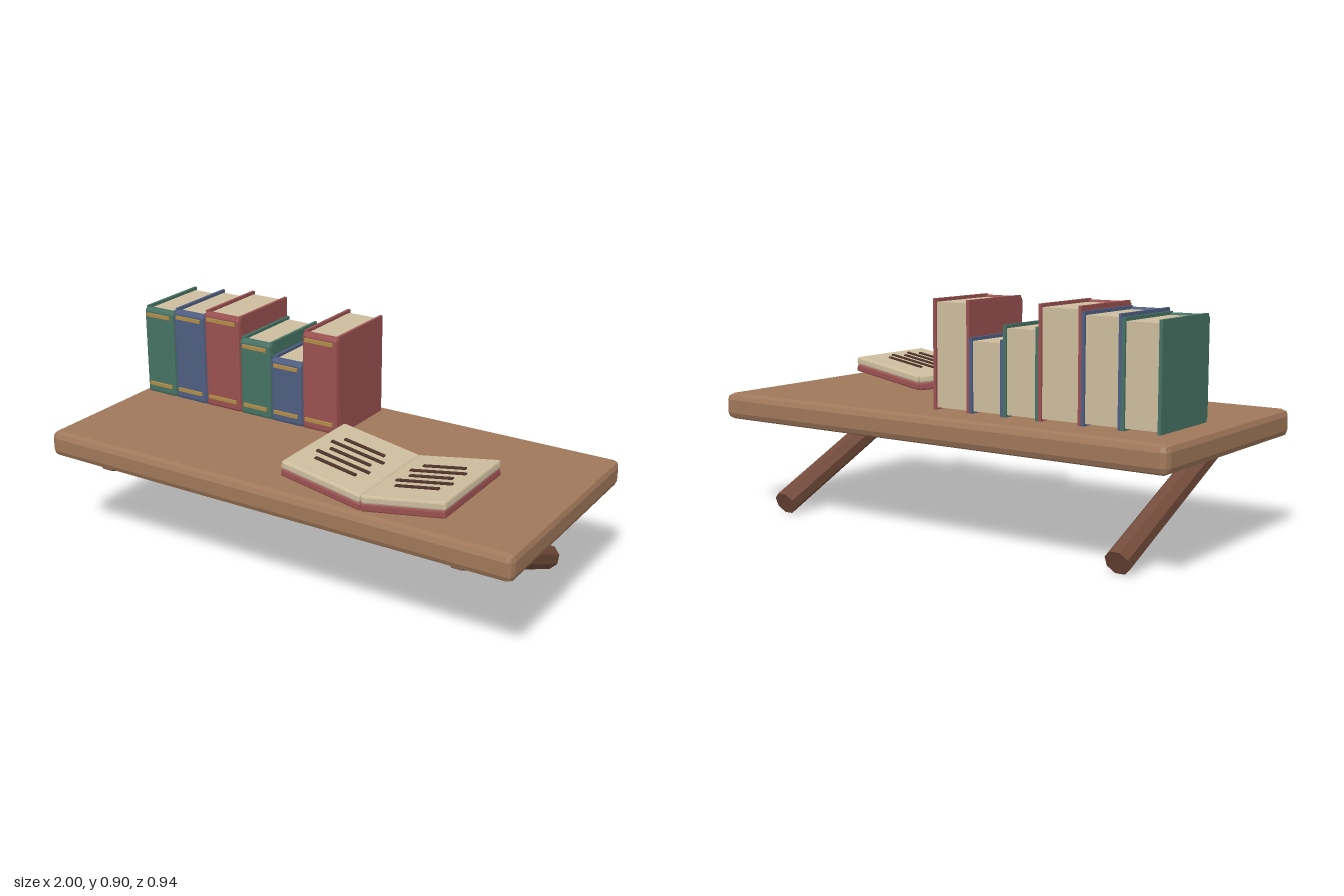
import * as THREE from 'three';
import { RoundedBoxGeometry } from 'three/addons/geometries/RoundedBoxGeometry.js';

function mat(name, color) {
  const m = new THREE.MeshStandardMaterial({ color, flatShading: true });
  m.name = name;
  return m;
}

export function createModel() {
  const wood = mat('wood', 0xa0785a);
  const darkWood = mat('darkWood', 0x724b3b);
  const red = mat('redCloth', 0x9a5050);
  const green = mat('greenCloth', 0x467264);
  const blue = mat('blueCloth', 0x4e5e82);
  const paper = mat('paper', 0xcdbd9e);
  const gold = mat('gold', 0xb08c48);
  const ink = mat('ink', 0x50342a);

  const model = new THREE.Group();
  model.name = 'bookShelf';

  // Box given by its min and max corners, with an optional rounded edge
  function box(parent, name, material, a, b, radius = 0) {
    const s = a.map((v, i) => b[i] - v);
    const geo = radius ? new RoundedBoxGeometry(...s, 1, radius) : new THREE.BoxGeometry(...s);
    const mesh = new THREE.Mesh(geo, material);
    mesh.name = name;
    mesh.position.set(...a.map((v, i) => (v + b[i]) / 2));
    parent.add(mesh);
    return mesh;
  }

  // Board
  box(model, 'board', wood, [-1, 0.378, -0.472], [1, 0.482, 0.472], 0.026);

  // Slanted octagonal braces running from the front edge down to the wall
  const foot = new THREE.Vector3(0, 0.045, -0.3825);
  const head = new THREE.Vector3(0, 0.392, 0.3975);
  const axis = head.clone().sub(foot);
  const braceGeo = new THREE.CylinderGeometry(0.049, 0.049, axis.length(), 8);
  braceGeo.rotateY(Math.PI / 8);
  for (const side of [-1, 1]) {
    const brace = new THREE.Mesh(braceGeo, darkWood);
    brace.name = side > 0 ? 'leftBrace' : 'rightBrace';
    brace.quaternion.setFromUnitVectors(new THREE.Vector3(0, 1, 0), axis.clone().normalize());
    brace.position.copy(foot).add(head).multiplyScalar(0.5);
    brace.position.x = side * 0.77;
    model.add(brace);
  }

  // Standing books: left edge, right edge, top, cloth
  const books = [
    [-0.93, -0.78, 0.87, green],
    [-0.78, -0.625, 0.882, blue],
    [-0.625, -0.452, 0.9, red],
    [-0.452, -0.305, 0.82, green],
    [-0.305, -0.158, 0.767, blue],
    [-0.158, 0.003, 0.898, red],
  ];
  const bottom = 0.496, cover = 0.012;
  books.forEach(([x0, x1, top, cloth], i) => {
    const book = new THREE.Group();
    book.name = 'book' + (i + 1);
    box(book, 'coverRight', cloth, [x0, bottom, -0.39], [x0 + cover, top, -0.07]);
    box(book, 'coverLeft', cloth, [x1 - cover, bottom, -0.39], [x1, top, -0.07]);
    box(book, 'spine', cloth, [x0 + 0.001, bottom + 0.004, -0.092], [x1 - 0.001, top - 0.005, -0.051], 0.012);
    box(book, 'pages', paper, [x0 + cover, bottom + 0.008, -0.382], [x1 - cover, top - 0.012, -0.085]);
    // Gilt bands on the spine
    for (const y of [0.543, top - 0.03]) {
      box(book, 'spineBand', gold, [x0 + 0.018, y - 0.007, -0.052], [x1 - 0.018, y + 0.007, -0.043]);
    }
    model.add(book);
  });

  // Open book: two halves tilted up from the gutter
  const open = new THREE.Group();
  open.name = 'openBook';
  open.position.set(0.407, 0.483, 0.2325);
  model.add(open);
  for (const side of [-1, 1]) {
    const half = new THREE.Group();
    half.name = side > 0 ? 'leftHalf' : 'rightHalf';
    half.rotation.z = side * 0.17;
    open.add(half);
    const slab = (name, m, x0, x1, y0, y1, z0, z1, r) =>
      box(half, name, m, [side > 0 ? x0 : -x1, y0, z0], [side > 0 ? x1 : -x0, y1, z1], r);
    slab('cover', red, 0.003, 0.335, 0, 0.029, -0.212, 0.212, 0.006);
    slab('pages', paper, 0.008, 0.34, 0.028, 0.06, -0.212, 0.212, 0.008);
    // Rows of writing
    for (let row = 0; row < 5; row++) {
      const w = row % 2 ? 0.112 : 0.086;
      const z = -0.093 + row * 0.05;
      slab('textLine', ink, 0.178 - w, 0.178 + w, 0.061, 0.067, z - 0.007, z + 0.007);
    }
  }

  return model;
}
